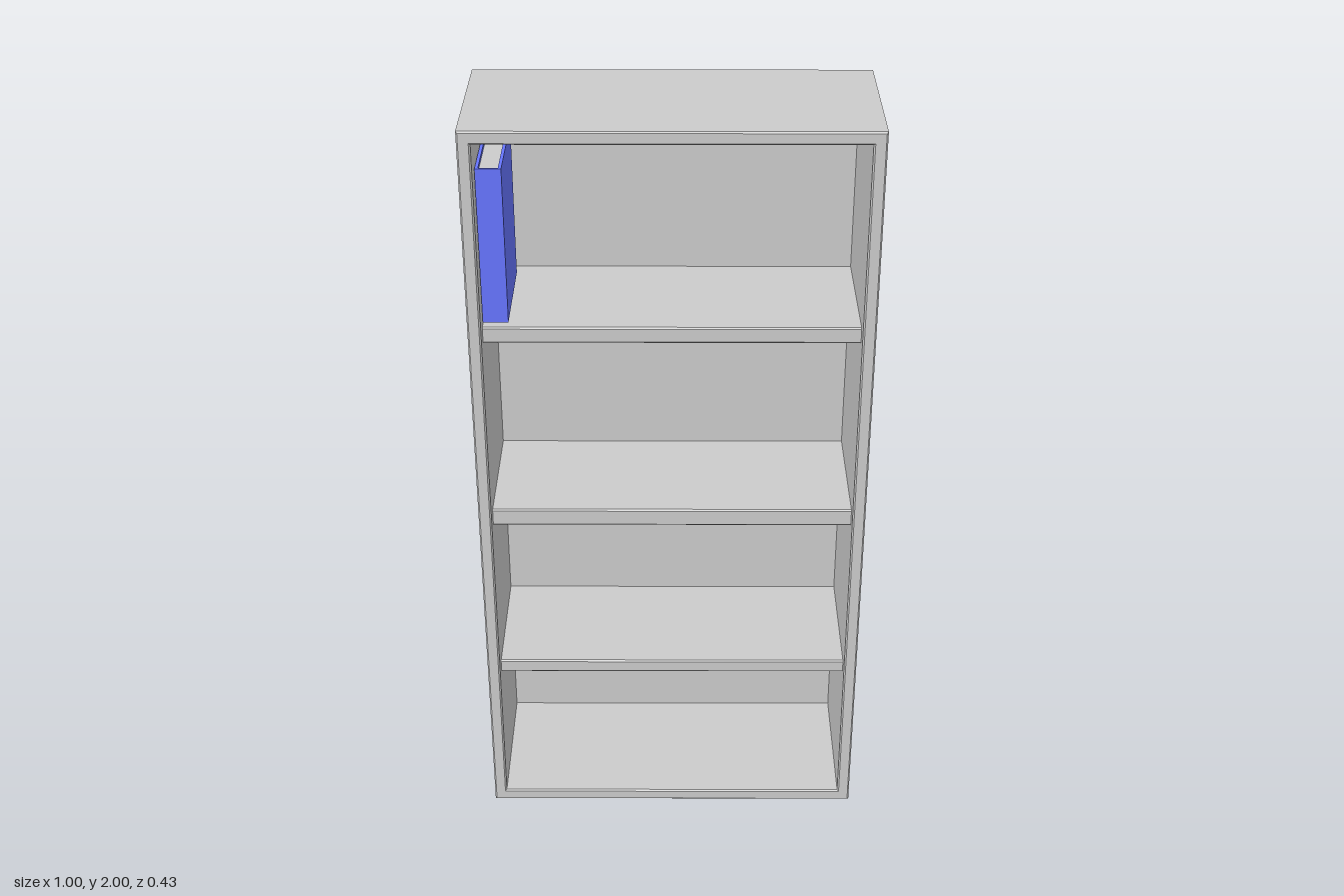
import * as THREE from 'three';

const W = 1, H = 2, D = 0.43, WALL = 0.033, BEVEL = 0.004;

const grey = new THREE.MeshStandardMaterial({ color: 0xcccccc });
const blue = new THREE.MeshStandardMaterial({ color: 0x6675ff });

// rectangle centred on the origin
function corners(w, h) {
  return [[-w, -h], [w, -h], [w, h], [-w, h]].map(([x, y]) => new THREE.Vector2(x / 2, y / 2));
}

// slab in the xy plane with chamfered front and back edges, optionally with a rectangular hole
function slab(w, h, d, hole) {
  const shape = new THREE.Shape(corners(w, h));
  if (hole) shape.holes.push(new THREE.Path(corners(hole[0], hole[1]).reverse()));
  const geo = new THREE.ExtrudeGeometry(shape, {
    depth: d - 2 * BEVEL, bevelEnabled: true, bevelSegments: 1,
    bevelThickness: BEVEL, bevelSize: BEVEL, bevelOffset: -BEVEL,
  });
  return geo.translate(0, 0, BEVEL - d / 2);
}

function add(group, name, geo, mat, x, y, z) {
  const mesh = new THREE.Mesh(geo, mat);
  mesh.name = name;
  mesh.position.set(x, y, z);
  group.add(mesh);
}

// book standing with its spine to the front; pages sit back from the cover's edges
function createBook(w, h, d) {
  const book = new THREE.Group();
  book.name = 'book';
  const t = 0.008, inset = 0.01;
  for (const s of [-1, 1]) {
    add(book, s < 0 ? 'rightCover' : 'leftCover', new THREE.BoxGeometry(t, h, d), blue, s * (w - t) / 2, h / 2, 0);
  }
  add(book, 'spine', new THREE.BoxGeometry(w - 2 * t, h, t), blue, 0, h / 2, (d - t) / 2);
  add(book, 'pages', new THREE.BoxGeometry(w - 2 * t, h - 2 * inset, d - t - inset), grey, 0, h / 2, (inset - t) / 2);
  return book;
}

export function createModel() {
  const model = new THREE.Group();
  model.name = 'bookcase';
  const innerW = W - 2 * WALL, innerH = H - 2 * WALL;

  // outer carcass and the back closing it
  add(model, 'carcass', slab(W, H, D, [innerW, innerH]), grey, 0, H / 2, 0);
  add(model, 'backPanel', new THREE.BoxGeometry(innerW + 2 * BEVEL, innerH + 2 * BEVEL, WALL),
    grey, 0, H / 2, (WALL - D) / 2);

  // shelves, set back a little from the front
  const front = 0.175, back = WALL - D / 2 - 0.01;
  for (const [bottom, top] of [[0.42, 0.458], [0.897, 0.945], [1.432, 1.475]]) {
    add(model, 'shelf', slab(innerW + 0.02, top - bottom, front - back), grey,
      0, (top + bottom) / 2, (front + back) / 2);
  }

  // single book on the top shelf
  const book = createBook(0.063, 0.403, 0.288);
  book.position.set(-0.434, 1.487, 0.026);
  model.add(book);
  return model;
}
